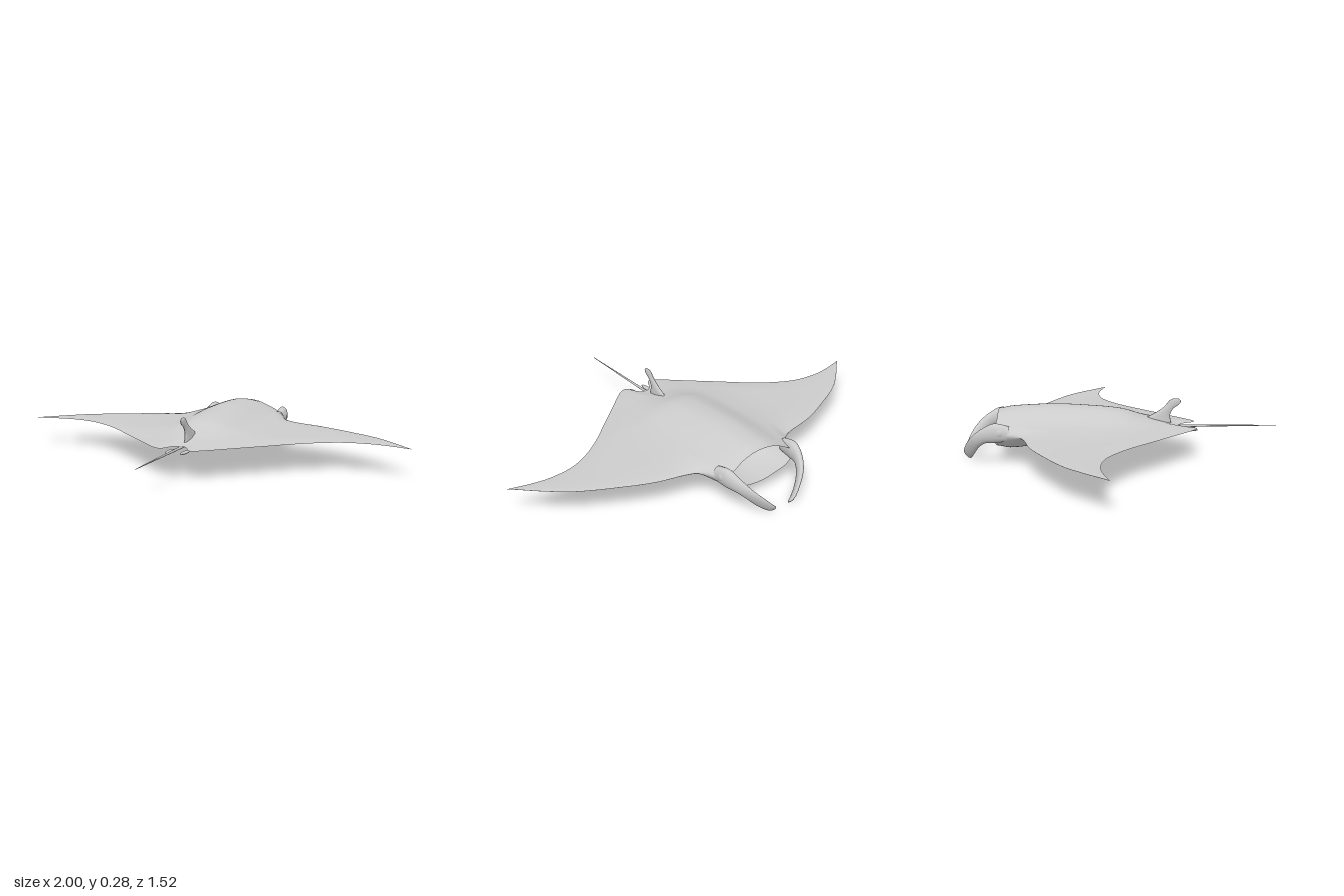
import * as THREE from 'three';
import { mergeVertices } from 'three/addons/utils/BufferGeometryUtils.js';

const MID = 0.15, MOUTH_Z = -0.595;
const material = new THREE.MeshStandardMaterial({ color: 0xcccccc, side: THREE.DoubleSide });

// Smooth interpolation through [position, value] pairs
function curve(points) {
  const slope = i => {
    if (i === 0) return 0;
    const a = points[i - 1], b = points[Math.min(i + 1, points.length - 1)];
    return (b[1] - a[1]) / (b[0] - a[0]);
  };
  return p => {
    let i = 0;
    while (i < points.length - 2 && p > points[i + 1][0]) i++;
    const [x0, y0] = points[i], [x1, y1] = points[i + 1];
    const w = x1 - x0, t = THREE.MathUtils.clamp((p - x0) / w, 0, 1), t2 = t * t, t3 = t2 * t;
    return y0 * (2 * t3 - 3 * t2 + 1) + y1 * (3 * t2 - 2 * t3)
      + w * (slope(i) * (t3 - 2 * t2 + t) + slope(i + 1) * (t3 - t2));
  };
}

// Smooth surface from a function of (u, v)
function surface(fn, nu, nv) {
  const pos = [], index = [], row = nv + 1;
  for (let i = 0; i <= nu; i++)
    for (let j = 0; j <= nv; j++) pos.push(...fn(i / nu, j / nv));
  for (let i = 0; i < nu; i++)
    for (let j = 0; j < nv; j++) {
      const a = i * row + j, b = a + row;
      index.push(a, b, b + 1, a, b + 1, a + 1);
    }
  let geo = new THREE.BufferGeometry();
  geo.setAttribute('position', new THREE.Float32BufferAttribute(pos, 3));
  geo.setIndex(index);
  geo = mergeVertices(geo, 1e-5);
  geo.computeVertexNormals();
  return geo;
}

// Flattened blade between two edge curves, with half thickness along its length
function blade(edgeA, edgeB, thickness, nu = 40, nv = 20) {
  const make = pts => new THREE.CatmullRomCurve3(pts.map(p => new THREE.Vector3(...p)));
  const A = make(edgeA), B = make(edgeB);
  const th = curve(thickness.map((t, i) => [i / (thickness.length - 1), t]));
  const centre = u => A.getPoint(u).add(B.getPoint(u)).multiplyScalar(0.5);
  return surface((u0, v) => {
    const u = 1 - (1 - u0) ** 1.5;
    const c = centre(u), a = A.getPoint(u).sub(c);
    const T = centre(Math.min(1, u + 0.01)).sub(centre(Math.max(0, u - 0.01)));
    const b = a.clone().cross(T).normalize().multiplyScalar(th(u));
    const cap = Math.sqrt(Math.max(0, 1 - Math.max(0, (u - 0.9) / 0.1) ** 2));
    const ang = v * Math.PI * 2;
    return c.addScaledVector(a, Math.cos(ang) * cap).addScaledVector(b, Math.sin(ang) * cap).toArray();
  }, nu, nv);
}

// Outline of the disc: leading and trailing edge across the span
const lead = curve([[0, MOUTH_Z], [0.1, MOUTH_Z], [0.195, MOUTH_Z], [0.222, -0.545], [0.25, -0.49], [0.3, -0.46],
  [0.46, -0.42], [0.6, -0.36], [0.78, -0.265], [0.89, -0.175], [0.97, -0.098], [1, -0.07]]);
const trail = curve([[0, 0.285], [0.02, 0.288], [0.04, 0.31], [0.065, 0.355], [0.095, 0.357], [0.14, 0.325], [0.246, 0.23],
  [0.353, 0.136], [0.46, 0.04], [0.57, -0.04], [0.68, -0.092], [0.8, -0.107], [0.89, -0.097], [1, -0.07]]);
// Height along the spine and its falloff across the span
const topSpine = curve([[-0.6, 0.084], [-0.53, 0.096], [-0.35, 0.105], [-0.2, 0.1], [0, 0.08], [0.1, 0.048], [0.2, 0.022], [0.36, 0.006]]);
const lowSpine = curve([[-0.6, 0.086], [-0.53, 0.096], [-0.4, 0.077], [-0.3, 0.073], [-0.1, 0.06], [0, 0.045], [0.1, 0.022], [0.2, 0.01], [0.36, 0.006]]);
const topSpan = curve([[0, 1], [0.05, 0.95], [0.1, 0.78], [0.15, 0.56], [0.2, 0.39], [0.3, 0.22], [0.4, 0.14], [0.6, 0.07], [1, 0.02]]);
const lowSpan = curve([[0, 1], [0.1, 0.87], [0.15, 0.73], [0.2, 0.5], [0.25, 0.29], [0.3, 0.18], [0.5, 0.07], [1, 0.02]]);

function height(x, z, side) {
  const ax = Math.abs(x), zl = lead(ax), zt = trail(ax), chord = Math.max(1e-4, zt - zl);
  const lip = Math.sqrt(Math.max(0, 1 - (ax / 0.205) ** 4));
  const ease = s => 1 - (1 - THREE.MathUtils.clamp(s, 0, 1)) ** 2;
  const front = ease((z - zl) / Math.min(0.15, chord * 0.4));
  const rear = ease((zt - z) / Math.min(0.12, chord * 0.5));
  const edge = Math.sqrt(lip * lip + (1 - lip * lip) * front) * rear;
  return MID + side * edge * (side > 0 ? topSpine(z) * topSpan(ax) : lowSpine(z) * lowSpan(ax));
}

const discSide = side => surface((u, v) => {
  // stations gather around the head
  const w = (2 * u - 1) * -side, ax = 0.4 * Math.abs(w) + 0.6 * Math.abs(w) ** 3;
  const x = Math.sign(w) * ax, t = (1 - Math.cos(v * Math.PI)) / 2;
  const z = lead(ax) + (trail(ax) - lead(ax)) * t;
  return [x, height(x, z, side), z];
}, 180, 56);

export function createModel() {
  const model = new THREE.Group();
  const add = (name, geo, parent = model) => {
    const mesh = new THREE.Mesh(geo, material);
    mesh.name = name;
    parent.add(mesh);
    return mesh;
  };
  const ellipsoid = (x, y, z, a, b, c) => new THREE.SphereGeometry(1, 20, 14).scale(a, b, c).translate(x, y, z);

  add('back', discSide(1));
  add('belly', discSide(-1));

  // Open mouth, a bowl running back from the lips
  add('mouthCavity', surface((u, v) => {
    const ang = v * Math.PI * 2, x = 0.203 * Math.cos(ang), y = height(x, MOUTH_Z, Math.sin(ang) >= 0 ? 1 : -1);
    const s = Math.cos(u * Math.PI / 2);
    return [x * s, MID + (y - MID) * s, MOUTH_Z + 0.28 * Math.sin(u * Math.PI / 2)];
  }, 16, 64));

  // Paired parts, mirrored
  const lobe = blade(
    [[0.195, 0.19, -0.53], [0.193, 0.205, -0.6], [0.18, 0.183, -0.65], [0.15, 0.138, -0.708], [0.1, 0.085, -0.746], [0.06, 0.045, -0.761], [0.036, 0.025, -0.757]],
    [[0.2, 0.12, -0.53], [0.193, 0.112, -0.6], [0.182, 0.108, -0.645], [0.155, 0.083, -0.678], [0.115, 0.042, -0.705], [0.07, 0.01, -0.726], [0.045, 0.003, -0.735]],
    [0.025, 0.026, 0.02, 0.015, 0.011, 0.009, 0.006]);
  for (const [side, s] of [['left', 1], ['right', -1]]) {
    const half = new THREE.Group();
    half.name = side + 'Features';
    half.scale.x = s;
    add(side + 'HeadLobe', lobe, half);
    add(side + 'Eye', ellipsoid(0.207, 0.16, -0.575, 0.017, 0.024, 0.026), half);
    add(side + 'PelvicFin', ellipsoid(0.038, 0.133, 0.325, 0.013, 0.006, 0.045), half);
    // Gill slits lying on the belly
    for (let i = 0; i < 5; i++) {
      const path = [0, 0.33, 0.67, 1].map(k => {
        const x = 0.085 + i * -0.004 + k * (0.1 - i * 0.008), z = -0.44 + i * 0.05 - k * 0.025 + 0.02 * k * k;
        return new THREE.Vector3(x, height(x, z, -1), z);
      });
      add(side + 'GillSlit' + (i + 1), new THREE.TubeGeometry(new THREE.CatmullRomCurve3(path), 12, 0.004, 6), half);
    }
    model.add(half);
  }

  // Swept dorsal fin
  add('dorsalFin', blade(
    [[0, 0.15, 0.09], [0, 0.19, 0.125], [0, 0.215, 0.17], [0, 0.245, 0.21], [0, 0.274, 0.235], [0, 0.286, 0.262]],
    [[0, 0.14, 0.245], [0, 0.17, 0.24], [0, 0.2, 0.236], [0, 0.23, 0.25], [0, 0.256, 0.283], [0, 0.275, 0.291]],
    [0.014, 0.012, 0.01, 0.008, 0.007, 0.005]));

  // Whip tail
  add('tail', new THREE.CylinderGeometry(0.0015, 0.007, 0.5, 12).rotateX(Math.PI / 2).translate(0, 0.146, 0.505));
  return model;
}
